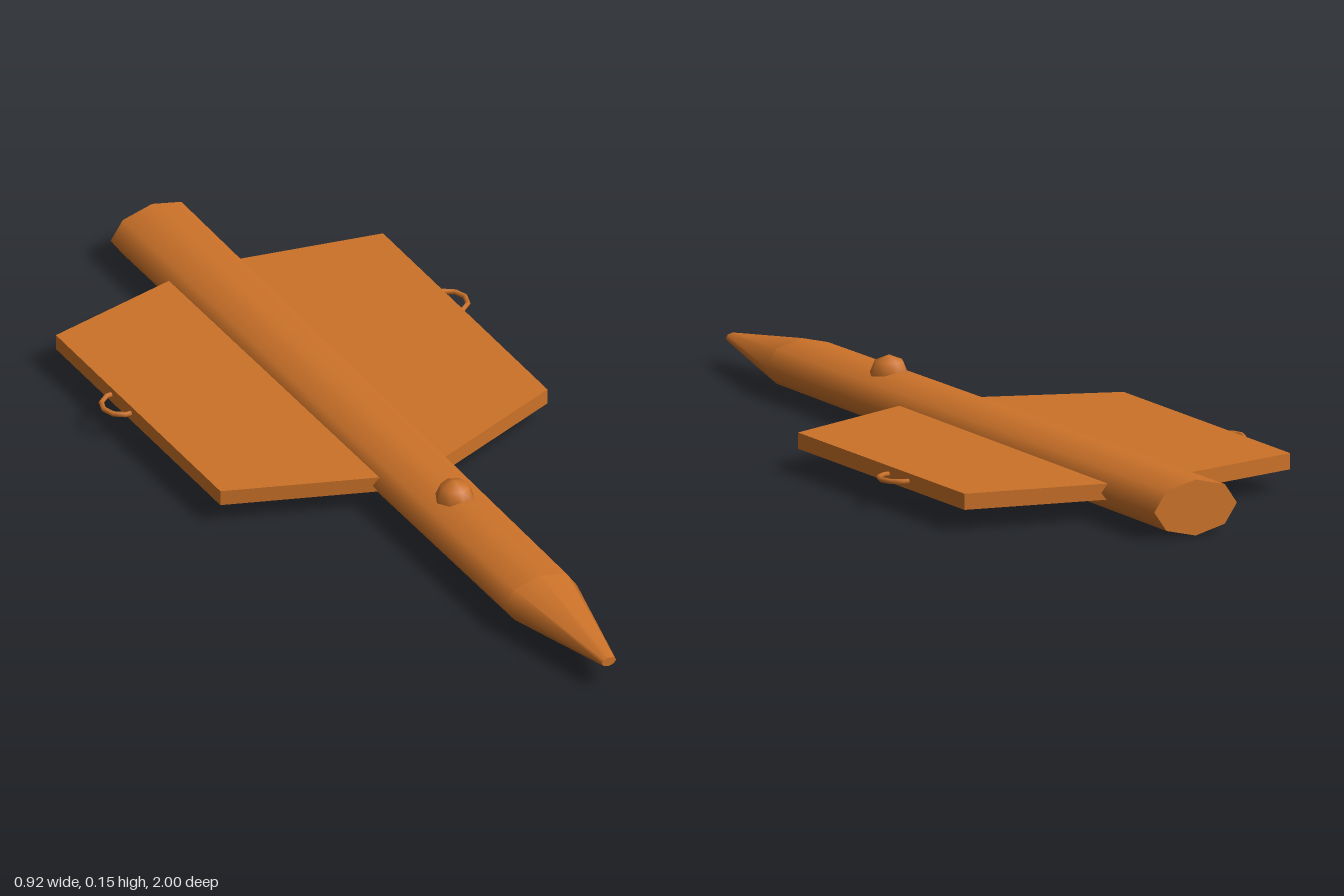
import * as THREE from 'three';

const AXIS_Y = 0.063; // height of the fuselage axis
const material = new THREE.MeshStandardMaterial({ color: 0xcc7229 });

function addPart(group, name, geometry) {
  const mesh = new THREE.Mesh(geometry, material);
  mesh.name = name;
  group.add(mesh);
  return mesh;
}

// Flattened eight-sided tapered tube running along z
function bodySection(frontRadius, rearRadius, zFront, zRear) {
  return new THREE.CylinderGeometry(frontRadius, rearRadius, zFront - zRear, 8)
    .rotateX(Math.PI / 2)
    .scale(1, 0.6, 1)
    .translate(0, AXIS_Y, (zFront + zRear) / 2);
}

// Flat swept plate; side is +1 (left) or -1 (right)
function wingPlate(side) {
  const outline = [[0, 0.17], [0.41, 0.015], [0.41, -0.705], [0, -0.79]];
  const shape = new THREE.Shape(outline.map(([x, z]) => new THREE.Vector2(side * x, -z)));
  return new THREE.ExtrudeGeometry(shape, { depth: 0.036, bevelEnabled: false })
    .rotateX(-Math.PI / 2)
    .translate(0, 0.047, 0);
}

export function createModel() {
  const group = new THREE.Group();
  group.name = 'aircraft';

  // Fuselage and blunt-tipped nose
  addPart(group, 'fuselage', bodySection(0.092, 0.104, 0.7, -1));
  addPart(group, 'noseCone', bodySection(0.018, 0.092, 1, 0.7));

  // Cockpit dome, half sunk into the body
  addPart(group, 'cockpitDome', new THREE.SphereGeometry(0.045, 8, 4))
    .position.set(0, 0.108, 0.325);

  // Wings with a ring set into each tip
  for (const [side, label] of [[1, 'left'], [-1, 'right']]) {
    addPart(group, label + 'Wing', wingPlate(side));
    const ring = new THREE.TorusGeometry(0.045, 0.006, 6, 10).rotateX(Math.PI / 2);
    addPart(group, label + 'WingTipRing', ring).position.set(side * 0.408, 0.065, -0.42);
  }
  return group;
}
